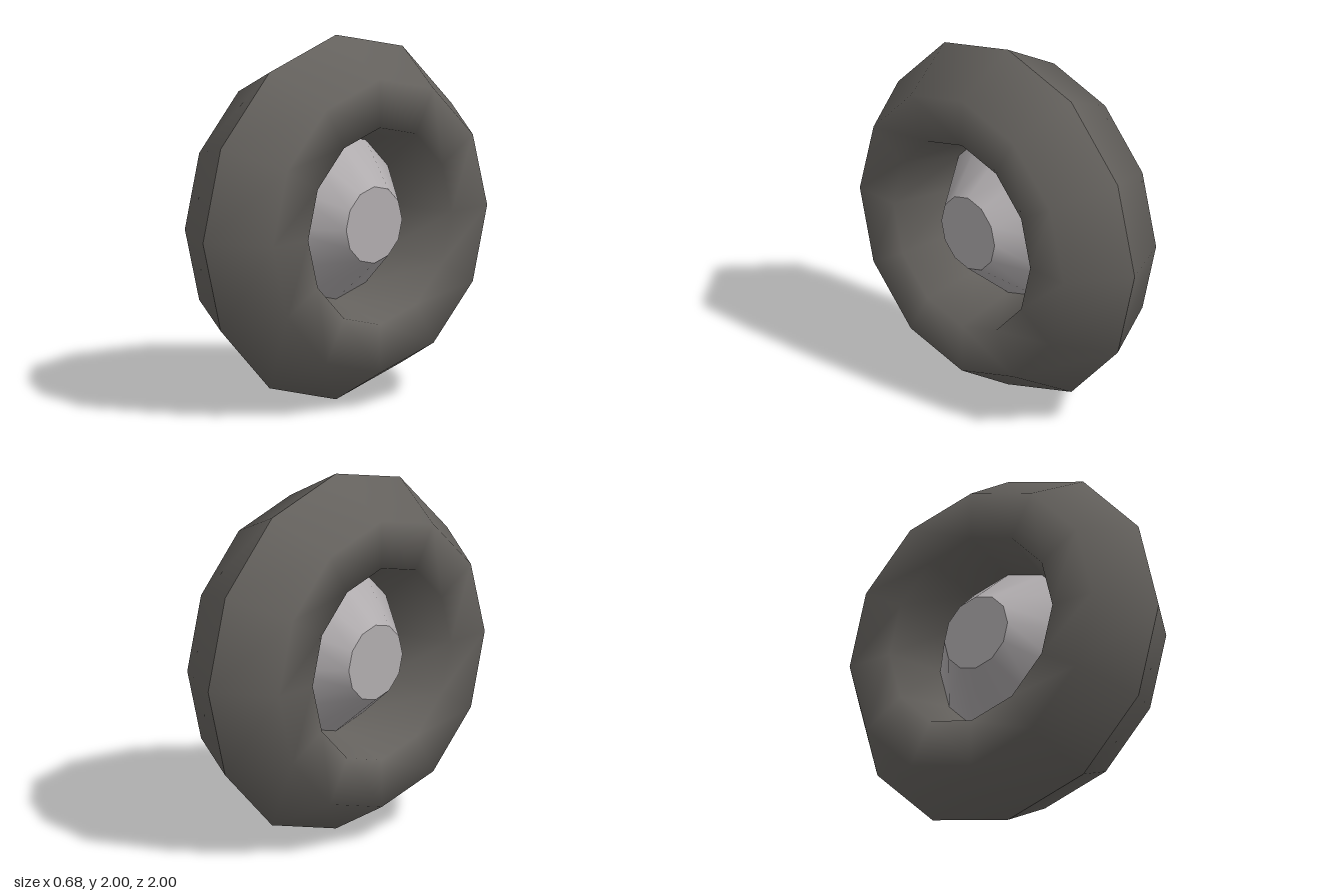
import * as THREE from 'three';

const SIDES = 12;

export function createModel() {
  const rubber = new THREE.MeshStandardMaterial({ color: 0x64615d });
  rubber.name = 'dark rubber';
  const metal = new THREE.MeshStandardMaterial({ color: 0xb0acae });
  metal.name = 'grey metal';

  // Half tyre profile (radius, offset from the middle): tread ridge, shoulder, lip, inner wall
  const profile = [[1, 0], [0.805, 0.338], [0.54, 0.338], [0.45, 0]]
    .map(([r, w]) => new THREE.Vector2(r, w));
  const tyreGeometry = new THREE.LatheGeometry(profile, SIDES);

  // Tapered hub with a flat end cap
  const hubDepth = 0.293;
  const coneGeometry = new THREE.CylinderGeometry(0.21, 0.45, hubDepth, SIDES, 1, true);
  coneGeometry.translate(0, hubDepth / 2, 0);
  const capGeometry = new THREE.CircleGeometry(0.21, SIDES);
  capGeometry.rotateX(-Math.PI / 2).translate(0, hubDepth, 0);

  // Lay the axle along x
  for (const g of [tyreGeometry, coneGeometry, capGeometry]) g.rotateZ(-Math.PI / 2);

  const wheel = new THREE.Group();
  wheel.name = 'wheel';

  // Two identical halves meet at a sharp ridge in the middle
  for (const [side, turn] of [['left', 0], ['right', Math.PI]]) {
    const half = new THREE.Group();
    half.name = side + 'Half';
    half.rotation.y = turn;
    half.position.y = 1;
    const parts = [
      ['Tyre', tyreGeometry, rubber],
      ['Hub', coneGeometry, metal],
      ['HubCap', capGeometry, metal],
    ];
    for (const [name, geometry, material] of parts) {
      const mesh = new THREE.Mesh(geometry, material);
      mesh.name = side + name;
      half.add(mesh);
    }
    wheel.add(half);
  }
  return wheel;
}
